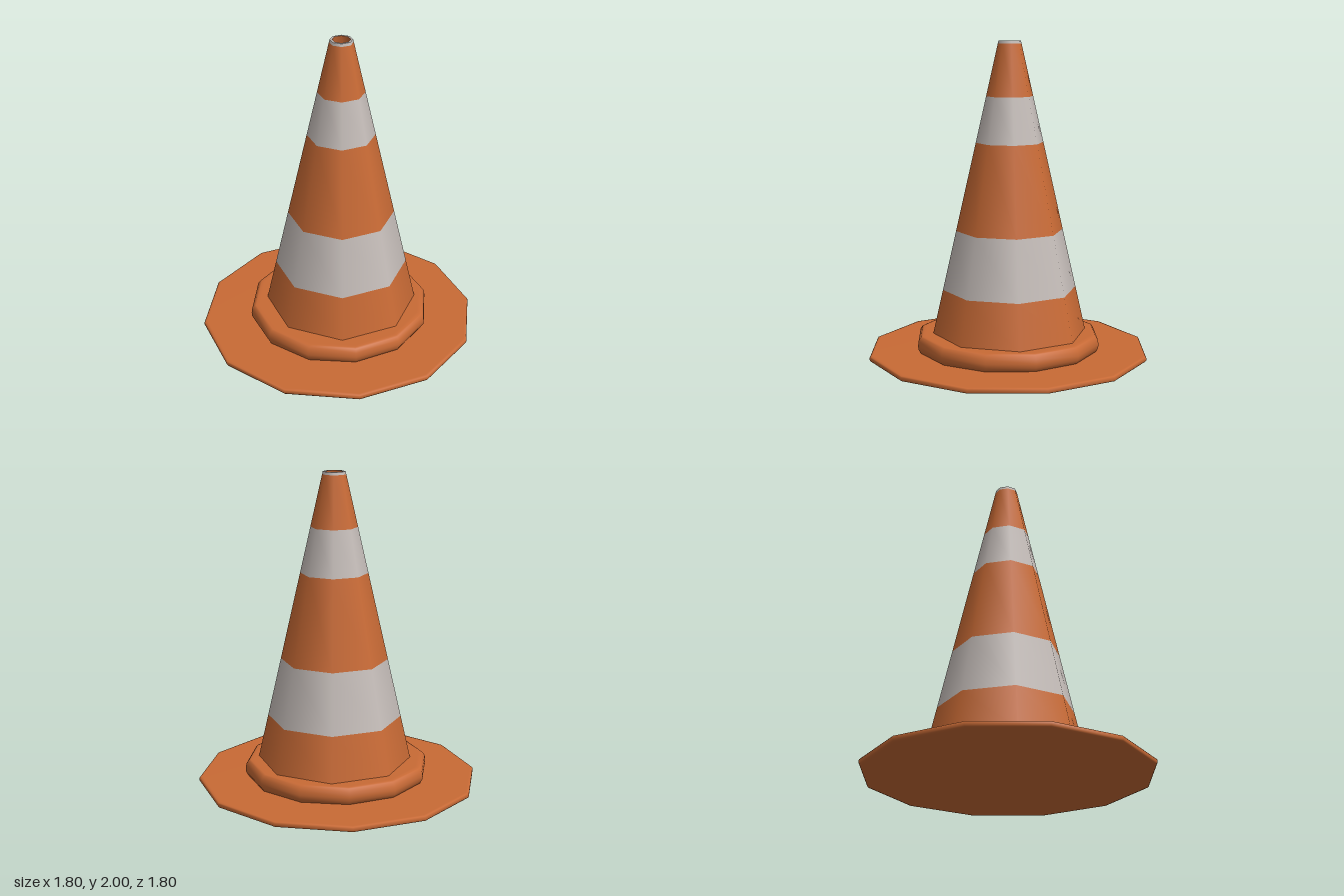
import * as THREE from 'three';

const orange = new THREE.MeshStandardMaterial({ color: 0xc86a35 });
orange.name = 'orange';
const white = new THREE.MeshStandardMaterial({ color: 0xc4bcb8 });
white.name = 'reflective white';

// Turned part from [radius, height] pairs; an upward profile faces outward
function turned(name, profile, sides, turn, material) {
  const points = profile.map(([r, y]) => new THREE.Vector2(r, y));
  const mesh = new THREE.Mesh(new THREE.LatheGeometry(points, sides, turn), material);
  mesh.name = name;
  return mesh;
}

export function createModel() {
  const model = new THREE.Group();
  model.name = 'trafficCone';

  // Thin twelve-sided foot plate
  model.add(turned('basePlate', [
    [0, 0], [0.88, 0], [0.895, 0.004], [0.9, 0.012],
    [0.9, 0.027], [0.895, 0.034], [0.88, 0.037], [0, 0.037],
  ], 12, 0, orange));

  // Rounded collar, turned slightly and set a little off centre
  const collar = turned('collar', [
    [0.55, 0.03], [0.575, 0.04], [0.59, 0.065], [0.592, 0.09],
    [0.588, 0.12], [0.573, 0.142], [0.56, 0.147], [0.54, 0.147], [0, 0.147],
  ], 12, 0.035, orange);
  collar.position.x = 0.008;
  model.add(collar);

  // Eight-sided tapering body, cut into coloured bands
  const cone = new THREE.Group();
  cone.name = 'cone';
  cone.position.set(0.016, 0, -0.015);
  model.add(cone);

  const bottom = 0.145, top = 2, toCorner = 1 / Math.cos(Math.PI / 8);
  const radiusAt = (y) =>
    THREE.MathUtils.mapLinear(y, bottom, top, 0.455, 0.065) * toCorner;
  const heights = [bottom, 0.428, 0.807, 1.366, 1.656, 1.982, top];
  for (let i = 0; i < heights.length - 1; i++) {
    const [y0, y1] = [heights[i], heights[i + 1]];
    const striped = i % 2 === 1;
    cone.add(turned(striped ? 'whiteBand' : 'orangeBand',
      [[radiusAt(y0), y0], [radiusAt(y1), y1]], 8, Math.PI / 8, striped ? white : orange));
  }

  // Open top: narrow rim and the hollow inside wall
  const wall = 0.014;
  cone.add(turned('rim', [[radiusAt(top), top], [radiusAt(top) - wall, top]],
    8, Math.PI / 8, white));
  cone.add(turned('insideWall',
    [[radiusAt(top) - wall, top], [radiusAt(bottom) - wall, bottom]],
    8, Math.PI / 8, orange));

  return model;
}
